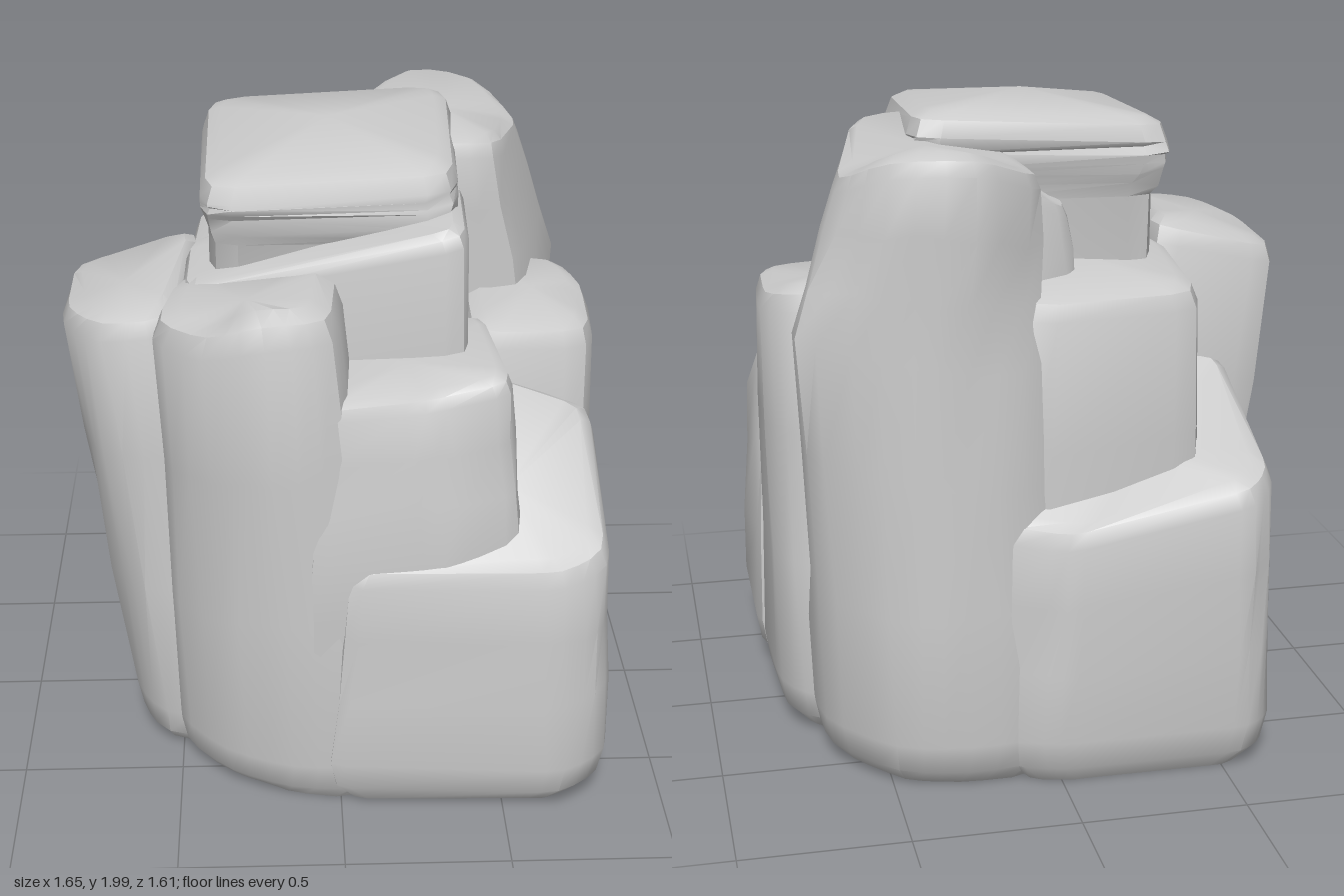
import * as THREE from 'three';
import { toCreasedNormals } from 'three/addons/utils/BufferGeometryUtils.js';

const V = (p) => new THREE.Vector3(...p);

// Seeded noise for a slightly uneven stone surface
let seed = 7;
const noise = () => {
  seed = (seed * 16807) % 2147483647;
  return seed / 2147483647 - 0.5;
};

// Corners of one section -> closed ring with worn, rounded corners
function roundRing(corners, radius) {
  const n = corners.length, ring = [];
  corners.forEach((p, i) => {
    const toward = (q) => p.clone().lerp(q, Math.min(0.36, radius / p.distanceTo(q)));
    const a = toward(corners[(i + n - 1) % n]), b = toward(corners[(i + 1) % n]);
    const mid = a.clone().add(b).multiplyScalar(0.25).addScaledVector(p, 0.5);
    ring.push(a, mid, b);
  });
  return ring;
}

const centreOf = (ring) =>
  ring.reduce((c, p) => c.add(p), new THREE.Vector3()).divideScalar(ring.length);

// Pull a ring inward by a distance and move it vertically
function inset(ring, amount, dy) {
  const c = centreOf(ring);
  return ring.map((p) => {
    const d = new THREE.Vector3(c.x - p.x, 0, c.z - p.z).normalize();
    return p.clone().addScaledVector(d, amount).add(V([0, dy, 0]));
  });
}

// Stone column lofted through sections, with a worn foot and a bevelled, crowned top
function column(name, sections, { radius = 0.09, bevel = 0.07, crown = 0 } = {}) {
  let secs = sections.map((s) => s.map(V));
  const area = secs[0].reduce((s, p, i, a) => {
    const q = a[(i + 1) % a.length];
    return s + p.x * q.z - q.x * p.z;
  }, 0);
  if (area > 0) secs = secs.map((s) => s.reverse());
  const loops = secs.map((s) => roundRing(s, radius));
  const base = loops[0], top = loops[loops.length - 1];
  const rings = [inset(base, 0.08, 0.01), inset(base, 0.02, 0.07), inset(base, 0, 0.16)];
  for (let k = 1; k < loops.length; k++) {
    const last = k === loops.length - 1;
    const from = rings[rings.length - 1];
    const to = last ? inset(top, 0, -bevel) : loops[k];
    for (const t of [0.35, 0.7]) {
      rings.push(from.map((p, i) => p.clone().lerp(to[i], t)
        .add(V([noise() * 0.018, noise() * 0.03, noise() * 0.018]))));
    }
    rings.push(to);
  }
  rings.push(inset(top, bevel * 0.3, -bevel * 0.3), inset(top, bevel, 0));

  const n = base.length, points = rings.flat(), index = [];
  for (let r = 0; r < rings.length - 1; r++) {
    for (let i = 0; i < n; i++) {
      const j = (i + 1) % n, a = r * n + i, b = r * n + j;
      index.push(a, b, b + n, a, b + n, a + n);
    }
  }
  // Caps
  const low = points.push(centreOf(rings[0])) - 1;
  const high = points.push(centreOf(rings[rings.length - 1]).add(V([0, crown, 0]))) - 1;
  const t0 = (rings.length - 1) * n;
  for (let i = 0; i < n; i++) {
    const j = (i + 1) % n;
    index.push(low, j, i, high, t0 + i, t0 + j);
  }
  const geo = new THREE.BufferGeometry().setFromPoints(points);
  geo.setIndex(index);
  const mesh = new THREE.Mesh(toCreasedNormals(geo, 0.65),
    new THREE.MeshStandardMaterial({ color: 0xcccccc }));
  mesh.name = name;
  return mesh;
}

export function createModel() {
  const rock = new THREE.Group();
  rock.name = 'rock';
  rock.add(
    // Tallest block in the middle
    column('centralColumn', [
      [[-0.38, 0, 0.3], [0.36, 0, 0.3], [0.36, 0, -0.38], [-0.36, 0, -0.38]],
      [[-0.38, 1.72, 0.3], [0.34, 1.72, 0.3], [0.36, 1.72, -0.36], [-0.36, 1.72, -0.4]],
      [[-0.4, 1.82, 0.33], [0.35, 1.82, 0.33], [0.38, 1.82, -0.38], [-0.4, 1.82, -0.43]],
      [[-0.4, 1.92, 0.33], [0.35, 1.95, 0.32], [0.38, 1.99, -0.4], [-0.4, 1.95, -0.43]],
    ], { crown: 0.045 }),
    // Tall back corner that bulges outward below its top
    column('backTallColumn', [
      [[0, 0, -0.74], [0.28, 0, -0.77], [0.5, 0, -0.72], [0.69, 0, -0.48], [0.7, 0, 0], [0.1, 0, 0]],
      [[0.03, 1.3, -0.7], [0.28, 1.3, -0.76], [0.52, 1.35, -0.71], [0.77, 1.4, -0.58], [0.6, 1.35, -0.02], [0.15, 1.3, 0]],
      [[0.01, 1.84, -0.57], [0.25, 1.94, -0.78], [0.5, 1.93, -0.71], [0.63, 1.84, -0.5], [0.5, 1.93, 0], [0.2, 1.94, 0.02]],
    ], { bevel: 0.06 }),
    // Middle-height block on the +x side
    column('sideColumn', [
      [[0.3, 0, 0.3], [0.8, 0, 0.3], [0.79, 0, -0.2], [0.68, 0, -0.34], [0.3, 0, -0.34]],
      [[0.4, 1.43, 0.27], [0.78, 1.42, 0.25], [0.81, 1.43, -0.12], [0.72, 1.46, -0.28], [0.4, 1.46, -0.28]],
    ]),
    // Broken-off front corner with a sloping top
    column('frontLowCorner', [
      [[-0.05, 0.02, 0.74], [0.68, 0.03, 0.81], [0.82, 0.05, 0.72], [0.82, 0.03, 0.2], [0, 0.02, 0.2]],
      [[0, 0.88, 0.74], [0.65, 0.9, 0.8], [0.79, 0.93, 0.72], [0.79, 1.17, 0.22], [0.3, 1.34, 0.26]],
    ], { radius: 0.06 }),
    // Front face, taller on the -x half
    column('frontColumn', [
      [[-0.52, 0, 0.42], [-0.36, 0, 0.62], [-0.15, 0, 0.72], [0.12, 0, 0.73], [0.2, 0, 0.2], [-0.48, 0, 0.2]],
      [[-0.56, 1.58, 0.46], [-0.4, 1.6, 0.66], [-0.22, 1.67, 0.74], [-0.01, 1.67, 0.7], [0.02, 1.68, 0.3], [-0.48, 1.62, 0.2]],
    ], { radius: 0.08, bevel: 0.09 }),
    column('frontLedge', [
      [[-0.15, 0, 0.7], [0.3, 0, 0.7], [0.54, 0, 0.64], [0.54, 0, 0.2], [-0.15, 0, 0.2]],
      [[-0.1, 0.9, 0.74], [0.3, 0.9, 0.74], [0.54, 0.9, 0.68], [0.54, 0.9, 0.2], [-0.1, 0.9, 0.2]],
      [[-0.1, 1.38, 0.7], [0.24, 1.4, 0.68], [0.5, 1.44, 0.64], [0.45, 1.46, 0.2], [-0.1, 1.42, 0.2]],
    ], { radius: 0.06, bevel: 0.05 }),
    // Step between the front face and the central block
    column('frontStep', [
      [[-0.45, 0, 0.4], [0.42, 0, 0.45], [0.42, 0, 0], [-0.45, 0, 0]],
      [[-0.46, 1.62, 0.36], [0.37, 1.82, 0.48], [0.39, 1.82, 0], [-0.45, 1.64, 0]],
    ], { radius: 0.07, bevel: 0.05 }),
    // Outward-leaning block on the -x side
    column('leaningColumn', [
      [[-0.66, 0, -0.2], [-0.66, 0, 0.24], [-0.56, 0, 0.42], [-0.3, 0, 0.45], [-0.3, 0, -0.25]],
      [[-0.82, 1.5, -0.18], [-0.83, 1.52, 0.24], [-0.7, 1.54, 0.43], [-0.48, 1.56, 0.43], [-0.4, 1.6, -0.2]],
    ]),
    // Broken-off back corner with a sloping top
    column('backLowCorner', [
      [[-0.66, 0, -0.15], [-0.66, 0, -0.72], [-0.57, 0, -0.8], [0.02, 0, -0.8], [0.18, 0, -0.74], [0.1, 0, -0.15]],
      [[-0.65, 1.16, -0.18], [-0.65, 0.97, -0.7], [-0.57, 0.94, -0.8], [0, 0.84, -0.8], [0.2, 0.86, -0.72], [0, 1.2, -0.2]],
    ], { radius: 0.05 }),
    // Ledge rising behind the back corner
    column('backLedge', [
      [[-0.5, 0, -0.1], [-0.46, 0, -0.66], [0.15, 0, -0.7], [0.15, 0, -0.1]],
      [[-0.46, 1.54, -0.1], [-0.44, 1.5, -0.64], [0.1, 1.5, -0.7], [0.15, 1.6, -0.1]],
    ]),
    // Small stone wedged between the back ledge and the tall corner
    column('backWedge', [
      [[-0.12, 1.2, -0.5], [0.16, 1.2, -0.62], [0.2, 1.2, -0.3], [-0.12, 1.2, -0.3]],
      [[-0.08, 1.72, -0.46], [0.12, 1.82, -0.56], [0.2, 1.84, -0.3], [-0.08, 1.74, -0.3]],
    ], { radius: 0.05, bevel: 0.05 }),
  );
  return rock;
}
